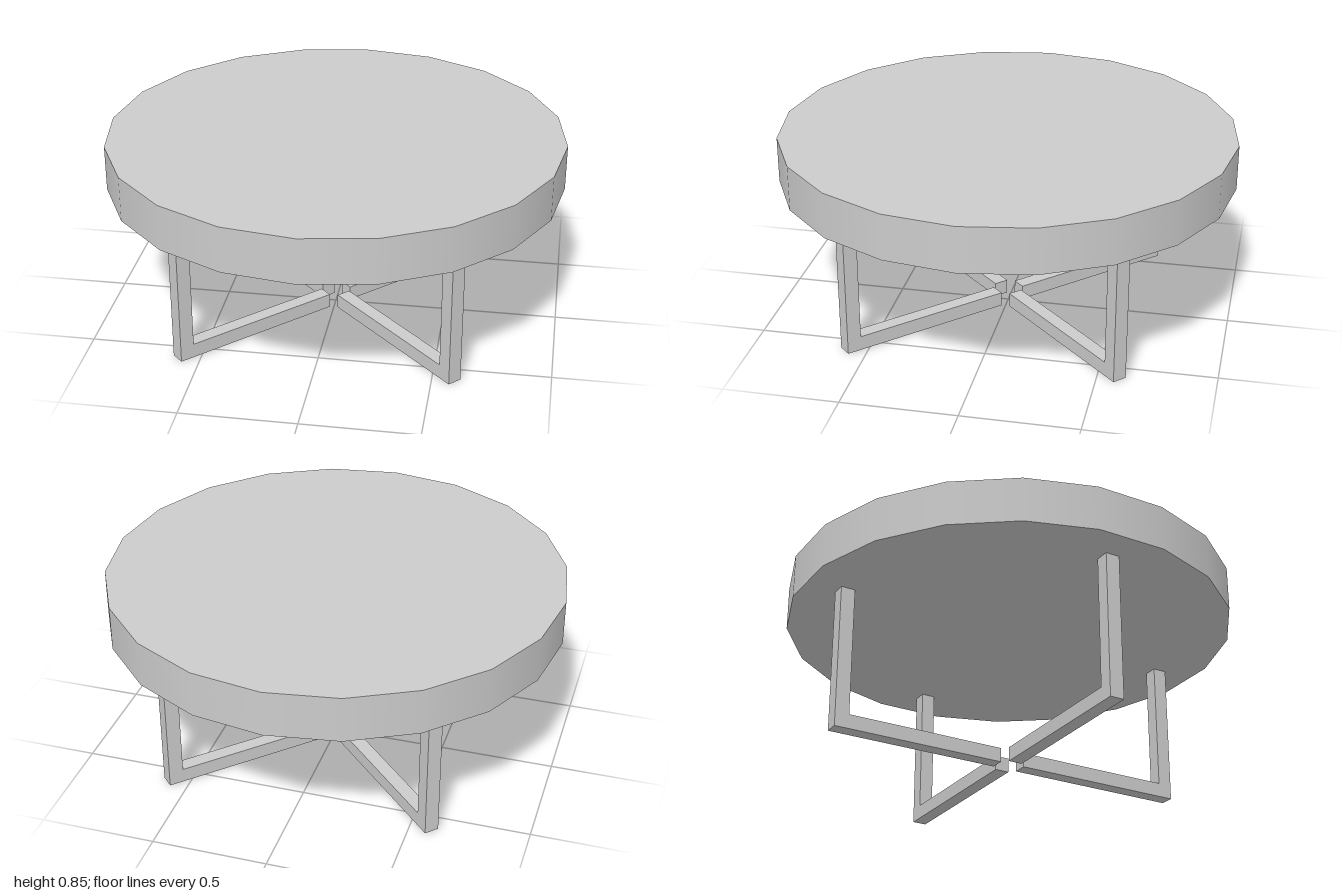
import * as THREE from 'three';

export function createModel() {
  const model = new THREE.Group();
  model.name = 'roundTable';
  const material = new THREE.MeshStandardMaterial({ color: 0xcccccc });

  const legHeight = 0.645;
  const topThickness = 0.2;
  const bar = 0.064;    // square section of the leg bars
  const inner = 0.057;  // radius where the foot bar stops, leaving a small gap
  const outer = 0.845;  // radius of the post's outer face

  // Round top: 20 sides, smooth rim
  const top = new THREE.Mesh(new THREE.CylinderGeometry(1, 1, topThickness, 20), material);
  top.name = 'tableTop';
  top.position.y = legHeight + topThickness / 2;
  model.add(top);

  // L-shaped leg profile: foot bar running outwards, then an upright post
  const profile = new THREE.Shape([
    [inner, 0], [outer, 0], [outer, legHeight],
    [outer - bar, legHeight], [outer - bar, bar], [inner, bar],
  ].map(([x, y]) => new THREE.Vector2(x, y)));
  const legGeometry = new THREE.ExtrudeGeometry(profile, { depth: bar, bevelEnabled: false });
  legGeometry.translate(0, 0, -bar / 2);

  // Four legs on the diagonals
  const names = ['backLeftLeg', 'backRightLeg', 'frontRightLeg', 'frontLeftLeg'];
  names.forEach((name, i) => {
    const leg = new THREE.Mesh(legGeometry, material);
    leg.name = name;
    leg.rotation.y = Math.PI / 4 + (i * Math.PI) / 2;
    model.add(leg);
  });

  return model;
}
